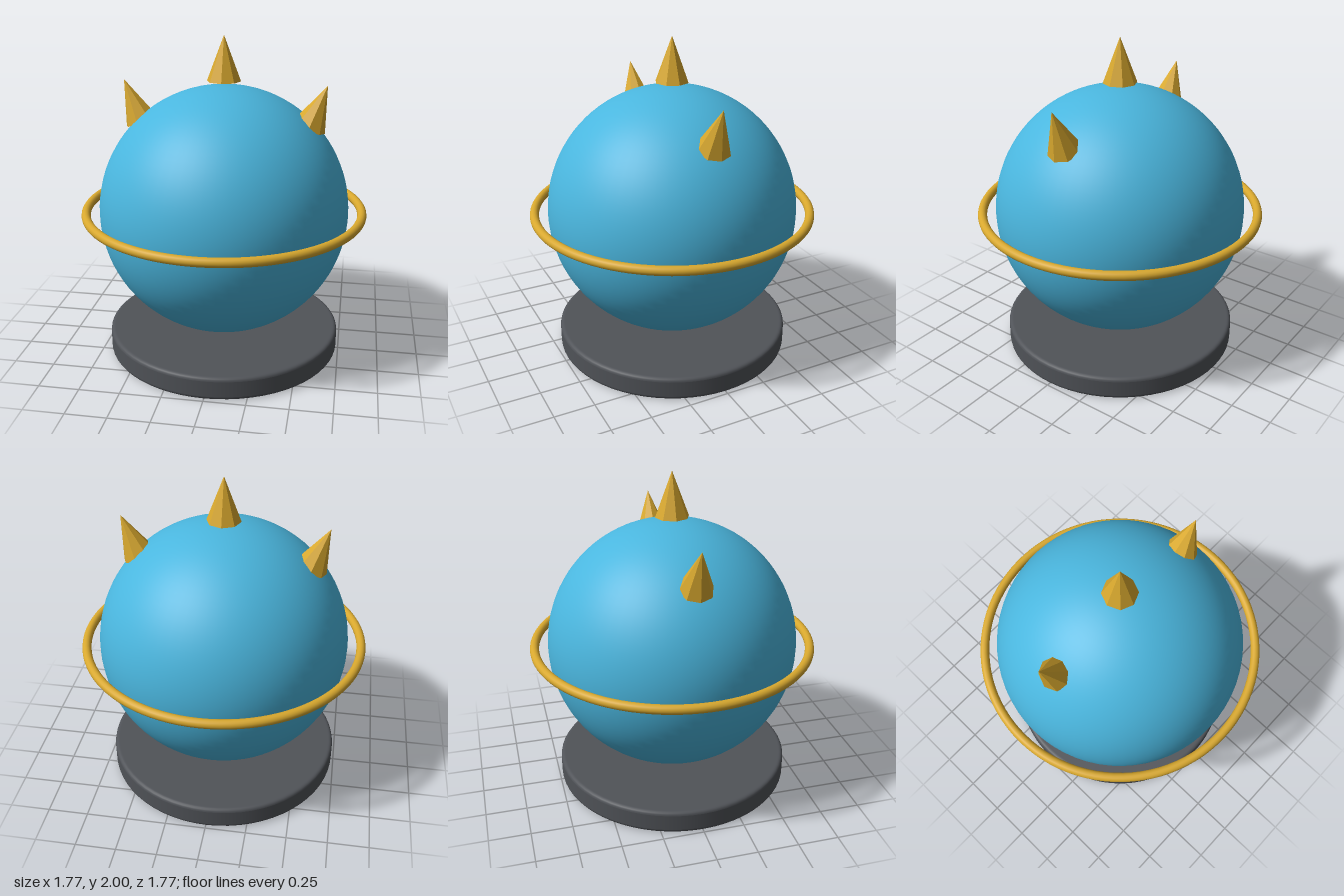
import * as THREE from 'three';

export function createModel() {
  const model = new THREE.Group();
  const material = (name, color) => {
    const m = new THREE.MeshStandardMaterial({ color });
    m.name = name;
    return m;
  };
  const blue = material('blue', 0x4ab6de);
  const gold = material('gold', 0xd8a82e);
  const grey = material('dark grey', 0x505358);

  const add = (name, geometry, mat, x, y) => {
    const mesh = new THREE.Mesh(geometry, mat);
    mesh.name = name;
    mesh.position.set(x, y, 0);
    model.add(mesh);
    return mesh;
  };

  // Round stand with softened rims
  const radius = 0.735, height = 0.145, bevel = 0.022;
  const profile = [new THREE.Vector2(0, 0)];
  for (const [cy, start] of [[bevel, -Math.PI / 2], [height - bevel, 0]]) {
    for (let i = 0; i <= 4; i++) {
      const a = start + (i / 4) * Math.PI / 2;
      profile.push(new THREE.Vector2(radius - bevel + Math.cos(a) * bevel, cy + Math.sin(a) * bevel));
    }
  }
  profile.push(new THREE.Vector2(0, height));
  // Repeated points keep the flat faces and the wall crisp
  const points = profile.flatMap((p, i) => {
    const next = profile[i + 1];
    return next && p.distanceTo(next) > 0.05
      ? [p, p.clone().lerp(next, 0.01), p.clone().lerp(next, 0.99)] : [p];
  });
  add('stand', new THREE.LatheGeometry(points, 64), grey, 0, 0);

  // Ball body and the ring around its middle
  add('body', new THREE.SphereGeometry(0.772, 64, 48), blue, 0, 0.925);
  const ring = new THREE.TorusGeometry(0.855, 0.028, 16, 96);
  ring.rotateX(Math.PI / 2);
  add('ring', ring, gold, 0, 0.925);

  // Faceted spikes, with the origin at the centre of the base
  const spike = new THREE.ConeGeometry(0.103, 0.272, 8).toNonIndexed();
  spike.translate(0, 0.136, 0);
  spike.computeVertexNormals();
  add('topSpike', spike, gold, 0, 1.728);
  for (const [name, side] of [['leftSpike', 1], ['rightSpike', -1]]) {
    add(name, spike, gold, side * 0.514, 1.467).rotation.z = -side * 0.385;
  }

  return model;
}
